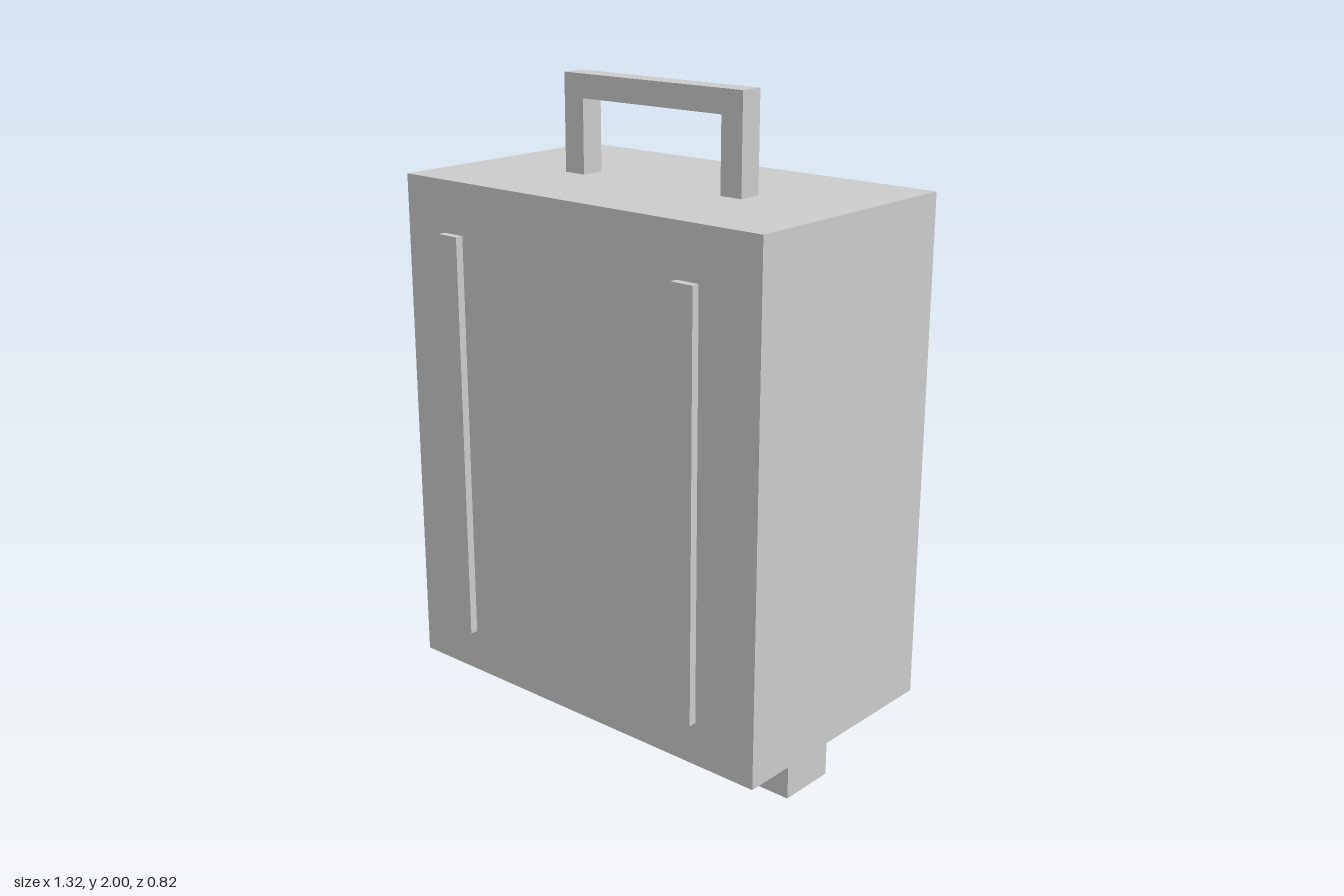
import * as THREE from 'three';

const material = new THREE.MeshStandardMaterial({ color: 0xcccccc, flatShading: true });

export function createModel() {
  const model = new THREE.Group();
  model.name = 'suitcase';

  const add = (name, geometry, x, y, z) => {
    const mesh = new THREE.Mesh(geometry, material);
    mesh.name = name;
    mesh.position.set(x, y, z);
    model.add(mesh);
  };

  // Main case
  add('body', new THREE.BoxGeometry(1.32, 1.53, 0.774), 0, 0.945, -0.024);

  // Feet and front strips, mirrored left and right
  for (const [side, s] of [['left', 1], ['right', -1]]) {
    add(side + 'Foot', new THREE.BoxGeometry(0.16, 0.18, 0.187), s * 0.5, 0.09, 0);
    add(side + 'Strip', new THREE.BoxGeometry(0.073, 1.235, 0.024), s * 0.44, 0.945, 0.399);
  }

  // Square carrying handle, one bent bar
  const outline = [
    [-0.33, 1.71], [-0.257, 1.71], [-0.257, 1.93], [0.257, 1.93],
    [0.257, 1.71], [0.33, 1.71], [0.33, 2], [-0.33, 2],
  ].map(([x, y]) => new THREE.Vector2(x, y));
  const depth = 0.074;
  const handle = new THREE.ExtrudeGeometry(new THREE.Shape(outline), { depth, bevelEnabled: false });
  add('handle', handle, 0, 0, -depth / 2);

  return model;
}
